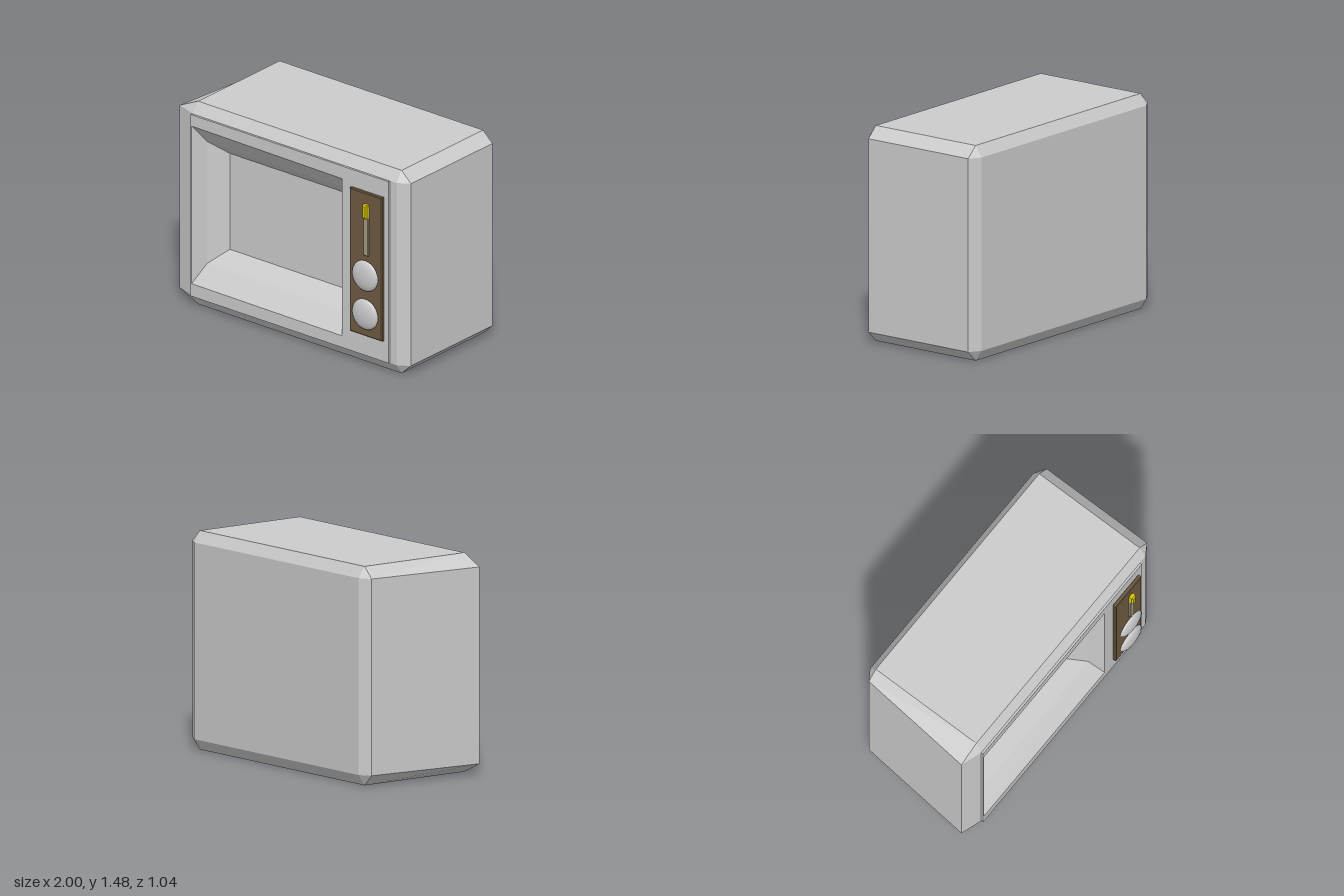
import * as THREE from 'three';

const grey = new THREE.MeshStandardMaterial({ color: 0xcccccc });
const flatGrey = new THREE.MeshStandardMaterial({ color: 0xcccccc, flatShading: true });
const brown = new THREE.MeshStandardMaterial({ color: 0x6e5a40 });
const olive = new THREE.MeshStandardMaterial({ color: 0xa39a80 });
const yellow = new THREE.MeshStandardMaterial({ color: 0xd8c800 });

function add(parent, name, geometry, material, x = 0, y = 0, z = 0) {
  const mesh = new THREE.Mesh(geometry, material);
  mesh.name = name;
  mesh.position.set(x, y, z);
  parent.add(mesh);
  return mesh;
}

// Faceted skin through equal-length rings, with optional end caps and skipped quads
function loft(rings, capStart, capEnd, skip = () => false) {
  const pos = [];
  const tri = (a, b, c) => {
    const t = new THREE.Triangle(...[a, b, c].map((p) => new THREE.Vector3(...p)));
    if (t.getArea() > 1e-7) pos.push(...a, ...b, ...c);
  };
  const n = rings[0].length;
  for (let r = 0; r < rings.length - 1; r++) {
    for (let i = 0; i < n; i++) {
      if (skip(r, i)) continue;
      const j = (i + 1) % n;
      tri(rings[r][i], rings[r][j], rings[r + 1][j]);
      tri(rings[r][i], rings[r + 1][j], rings[r + 1][i]);
    }
  }
  const first = rings[0], last = rings[rings.length - 1];
  for (let i = 1; i < n - 1; i++) {
    if (capStart) tri(first[0], first[i + 1], first[i]);
    if (capEnd) tri(last[0], last[i], last[i + 1]);
  }
  const g = new THREE.BufferGeometry();
  g.setAttribute('position', new THREE.Float32BufferAttribute(pos, 3));
  g.computeVertexNormals();
  return g;
}

// Rectangle running counter-clockwise as seen from the front
const rect = (x0, x1, y0, y1) => [[x0, y0], [x1, y0], [x1, y1], [x0, y1]];
const toVectors = (pts) => pts.map((p) => new THREE.Vector2(...p));

function framedShape(outer, hole) {
  const shape = new THREE.Shape(toVectors(outer));
  shape.holes.push(new THREE.Path(toVectors(hole)));
  return shape;
}

// Block with a small bevel around its front edge
function bevelBlock(w, h, d, bevel) {
  const shape = new THREE.Shape(toVectors(rect(-w / 2 + bevel, w / 2 - bevel, -h / 2 + bevel, h / 2 - bevel)));
  return new THREE.ExtrudeGeometry(shape, {
    depth: d - 2 * bevel, bevelEnabled: true, bevelSize: bevel, bevelThickness: bevel, bevelSegments: 1,
  }).translate(0, 0, bevel);
}

export function createModel() {
  const model = new THREE.Group();
  model.name = 'retroAppliance';

  // Chamfered casing whose right side tapers toward the back
  const wide = [[-0.85, 0.43], [0.92, 0.43], [1, 0.38], [1, -0.47],
    [0.92, -0.52], [-0.84, -0.52], [-0.915, -0.47], [-1, 0.38]];
  const narrow = wide.map(([x, z]) => [
    THREE.MathUtils.clamp(x, -0.84, 0.92), THREE.MathUtils.clamp(z, -0.47, 0.38)]);
  const level = (ring, y) => ring.map(([x, z]) => [x, y, z]);
  const rings = [level(narrow, 0), level(wide, 0.075), level(wide, 1.405), level(narrow, 1.48)];
  add(model, 'casing', loft(rings, true, true, (r, i) => r === 1 && i === 0), flatGrey);

  // Casing front and the raised front frame, both cut by the window opening
  const opening = [[-0.842, 0.17], [0.46, 0.163], [0.46, 1.31], [-0.842, 1.32]];
  add(model, 'casingFront', new THREE.ShapeGeometry(
    framedShape(rect(-0.85, 0.92, 0.075, 1.405), opening)), flatGrey, 0, 0, 0.43);
  add(model, 'frontFrame', new THREE.ExtrudeGeometry(
    framedShape(rect(-0.85, 0.86, 0.078, 1.402), opening), { depth: 0.015, bevelEnabled: false }),
  flatGrey, 0, 0, 0.43);

  // Recessed window stepping inward in two slopes
  const at = (pts, z) => pts.map(([x, y]) => [x, y, z]);
  add(model, 'windowRecess', loft([
    at(opening, 0.445),
    at(rect(-0.795, 0.415, 0.295, 1.185), 0.34),
    at(rect(-0.69, 0.31, 0.39, 1.09), 0.23),
  ], false, true), flatGrey);

  // Control panel with slider
  const controls = new THREE.Group();
  controls.name = 'controls';
  model.add(controls);
  add(controls, 'controlPanel', bevelBlock(0.28, 1.045, 0.03, 0.006), brown, 0.685, 0.757, 0.442);
  add(controls, 'sliderTrack', bevelBlock(0.04, 0.35, 0.025, 0.004), olive, 0.7, 1.005, 0.466);
  add(controls, 'sliderKnob', bevelBlock(0.04, 0.1, 0.042, 0.01), yellow, 0.7, 1.155, 0.468);

  // Domed dials
  for (const y of [0.4, 0.68]) {
    const dial = new THREE.Group();
    dial.name = 'dial';
    dial.position.set(0.69, y, 0.482);
    controls.add(dial);
    add(dial, 'dialDome', new THREE.SphereGeometry(1, 32, 10, 0, Math.PI * 2, 0, Math.PI / 2)
      .rotateX(Math.PI / 2).scale(0.11, 0.11, 0.035), grey);
    add(dial, 'dialBack', new THREE.CircleGeometry(0.11, 32).rotateY(Math.PI), grey);
  }
  return model;
}
